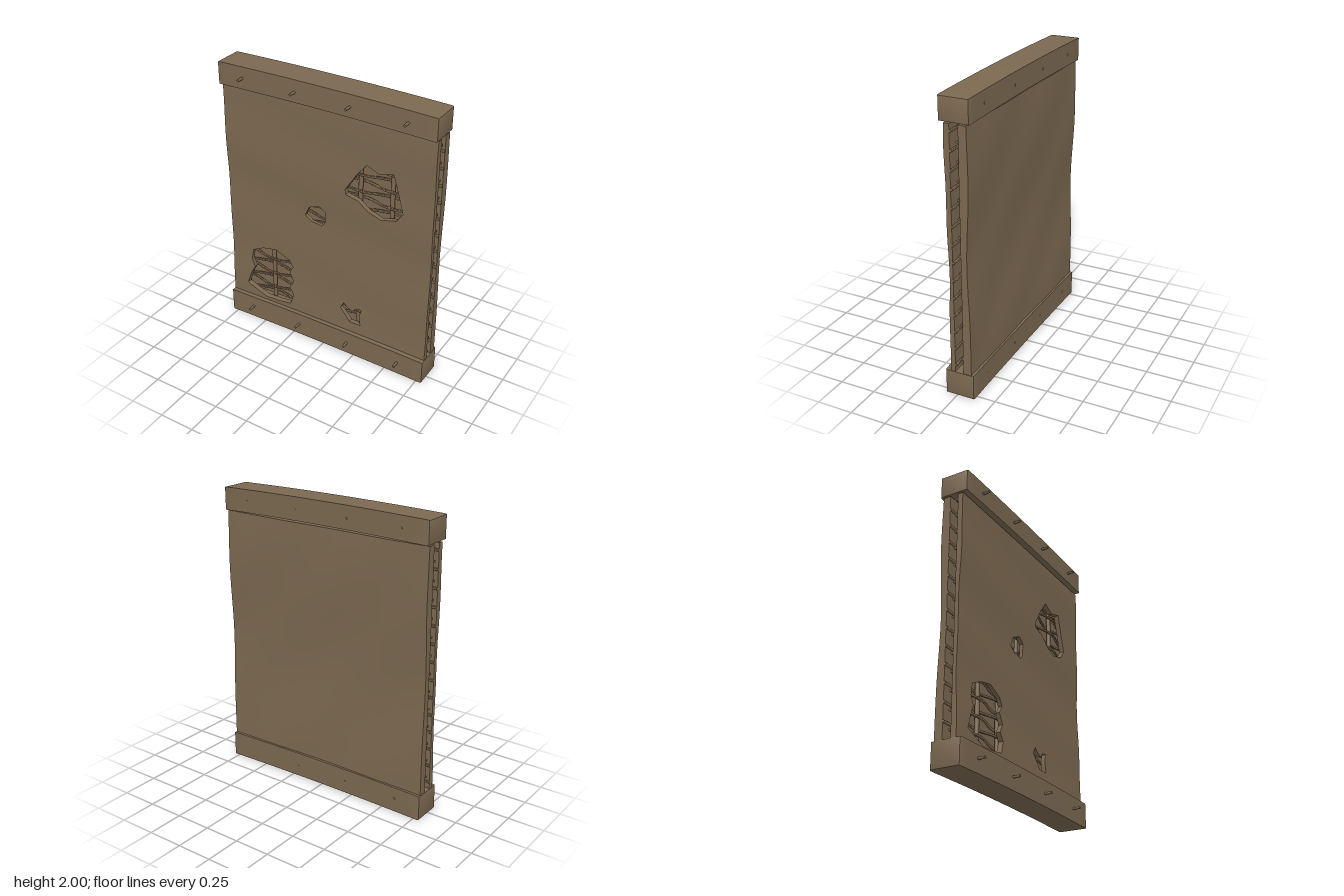
import * as THREE from 'three';
import { toCreasedNormals } from 'three/addons/utils/BufferGeometryUtils.js';

const HALF = 0.787;          // half width of the daub
const MID = -0.02;           // z of the stave plane
const STAVE_GAP = 0.2333;

const clay = new THREE.MeshStandardMaterial({ color: 0x7b6850 });
clay.name = 'earth brown';

function mesh(name, geometry) {
  const m = new THREE.Mesh(geometry, clay);
  m.name = name;
  return m;
}

// Moves every vertex by a rule and recomputes normals, keeping sharp edges.
function deform(geometry, rule, crease = 0.7) {
  const p = geometry.attributes.position;
  const v = new THREE.Vector3();
  for (let i = 0; i < p.count; i++) {
    rule(v.fromBufferAttribute(p, i));
    p.setXYZ(i, v.x, v.y, v.z);
  }
  return toCreasedNormals(geometry, crease);
}

// Splits the longest edge of each triangle until all edges are short.
function subdivide(geometry, maxLength) {
  const p = geometry.attributes.position;
  const stack = [], out = [];
  for (let i = 0; i < p.count; i += 3) {
    stack.push([0, 1, 2].map(k => new THREE.Vector3().fromBufferAttribute(p, i + k)));
  }
  while (stack.length) {
    const t = stack.pop();
    const d = [0, 1, 2].map(k => t[k].distanceTo(t[(k + 1) % 3]));
    const k = d.indexOf(Math.max(...d));
    const a = t[k], b = t[(k + 1) % 3], c = t[(k + 2) % 3];
    if (d[k] > maxLength) {
      const m = a.clone().add(b).multiplyScalar(0.5);
      stack.push([a, m, c], [m, b, c]);
    } else {
      for (const q of t) out.push(q.x, q.y, q.z);
    }
  }
  const g = new THREE.BufferGeometry();
  g.setAttribute('position', new THREE.Float32BufferAttribute(out, 3));
  return g;
}

// Slab of daub between two depth rules; holes go right through.
function daub(holes, back, front) {
  const pts = list => list.map(([x, y]) => new THREE.Vector2(x, y));
  const shape = new THREE.Shape(pts([[-HALF, 0.165], [HALF, 0.165], [HALF, 1.828], [-HALF, 1.828]]));
  shape.holes = holes.map(h => new THREE.Path(pts(h)));
  const depth = 0.04;
  const g = subdivide(new THREE.ExtrudeGeometry(shape, { depth, bevelEnabled: false }), 0.08);
  return deform(g, v => {
    v.z = THREE.MathUtils.lerp(back(v.x, v.y), front(v.x, v.y), v.z / depth);
  });
}

// Bevelled beam that bows slightly upward in the middle.
function beam(name, y0, y1) {
  const b = 0.01, z0 = -0.122, z1 = 0.08, half = 0.793;
  const shape = new THREE.Shape();
  shape.moveTo(-z1 + b, y0 + b);
  shape.lineTo(-z0 - b, y0 + b);
  shape.lineTo(-z0 - b, y1 - b);
  shape.lineTo(-z1 + b, y1 - b);
  const g = new THREE.ExtrudeGeometry(shape, {
    depth: 2 * (half - b), steps: 20, bevelThickness: b, bevelSize: b, bevelSegments: 2,
  });
  g.translate(0, 0, -(half - b));
  g.rotateY(Math.PI / 2);
  return mesh(name, deform(g, v => { v.y += 0.01 * (1 - (v.x / half) ** 2); }, 0.6));
}

// Thin rod passing alternately before and behind the staves.
function wovenRod(y, side) {
  const points = [];
  for (let i = -14; i <= 14; i++) {
    const x = i * 0.79 / 14;
    const phase = (THREE.MathUtils.clamp(x, -0.7, 0.7) / STAVE_GAP) * Math.PI;
    points.push(new THREE.Vector3(x, y, MID + side * 0.022 * Math.cos(phase)));
  }
  const round = new THREE.Shape().absarc(0, 0, 0.009, 0, Math.PI * 2);
  const g = new THREE.ExtrudeGeometry(round, {
    steps: 42, curveSegments: 6, extrudePath: new THREE.CatmullRomCurve3(points),
  });
  return mesh('wovenRod', toCreasedNormals(g, 1.2));
}

export function createModel() {
  const model = new THREE.Group();
  model.name = 'wattleAndDaubPanel';

  model.add(beam('topBeam', 1.835, 1.99), beam('bottomBeam', 0, 0.174));

  // Upright staves set into both beams
  const lattice = new THREE.Group();
  lattice.name = 'wattle';
  for (let i = -3; i <= 3; i++) {
    const stave = mesh('stave', new THREE.CylinderGeometry(0.015, 0.015, 1.76, 10));
    stave.position.set(i * STAVE_GAP, 1, MID);
    lattice.add(stave);
  }
  // Horizontal weave
  for (let i = 0; i < 27; i++) lattice.add(wovenRod(0.225 + i * 0.06, i % 2 ? 1 : -1));
  model.add(lattice);

  // Places where the front daub has fallen away
  const holes = [
    [[0.155, 1.31], [0.24, 1.445], [0.31, 1.53], [0.4, 1.49], [0.5, 1.52], [0.53, 1.42],
      [0.575, 1.26], [0.53, 1.195], [0.42, 1.165], [0.33, 1.195], [0.25, 1.255], [0.16, 1.275]],
    [[-0.16, 1.01], [-0.13, 1.08], [-0.05, 1.115], [-0.005, 1.08], [-0.005, 1.0], [-0.03, 0.967], [-0.11, 0.975]],
    [[-0.665, 0.27], [-0.635, 0.36], [-0.6, 0.43], [-0.625, 0.49], [-0.61, 0.57], [-0.52, 0.615],
      [-0.41, 0.638], [-0.3, 0.59], [-0.27, 0.54], [-0.3, 0.49], [-0.265, 0.42], [-0.3, 0.36],
      [-0.265, 0.31], [-0.29, 0.225], [-0.39, 0.21], [-0.5, 0.205], [-0.58, 0.235]],
    [[0.125, 0.35], [0.15, 0.4], [0.18, 0.37], [0.22, 0.355], [0.25, 0.385], [0.29, 0.39],
      [0.275, 0.34], [0.285, 0.26], [0.2, 0.26], [0.17, 0.3]],
  ];
  model.add(mesh('frontDaub', daub(holes,
    () => 0.01,
    (x, y) => 0.042 + 0.006 * Math.cos(3.8 * (y - 1.65)) + 0.003 * Math.sin(11 * y + 2 * x))));
  model.add(mesh('backDaub', daub([],
    (x, y) => -0.098 - 0.008 * Math.cos(4.4 * (y - 1.6)) + 0.003 * Math.sin(8 * (x + y)),
    () => -0.047)));

  // Pegs driven through the beams
  for (const y of [1.915, 0.095]) {
    for (const x of [-0.6, -0.2, 0.2, 0.6]) {
      const peg = mesh('peg', new THREE.CylinderGeometry(0.009, 0.009, 0.253, 10));
      peg.rotation.x = Math.PI / 2;
      peg.position.set(x, y, 0.0025);
      model.add(peg);
    }
  }
  return model;
}
